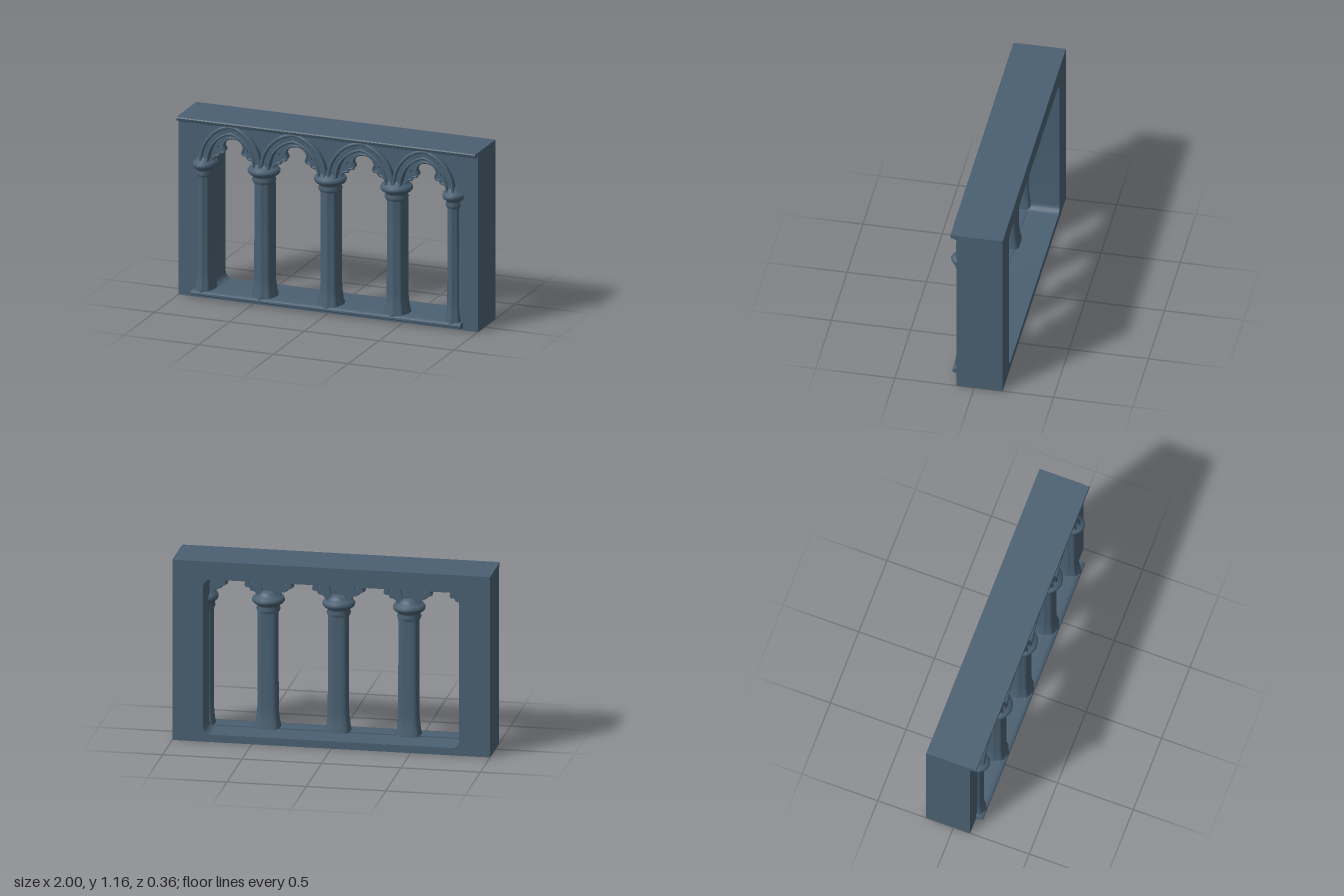
import * as THREE from 'three';
import { toCreasedNormals } from 'three/addons/utils/BufferGeometryUtils.js';

const SPRING = 0.89; // height where the arches spring
const OFFSET = 0.038; // distance of arc centres from each arch axis
const ARCHES = [[-0.645, 0.93], [-0.225, 1], [0.225, 1], [0.645, 0.93]]; // axis, width scale
const COLUMNS = [[-0.835, 0.75], [-0.443, 1], [0, 1], [0.443, 1], [0.835, 0.75]];

// Points of a pointed arch, from right springing over the apex to the left
function archPoints(r, cx = 0, sx = 1, n = 14) {
  const top = Math.acos(OFFSET / r);
  const right = [];
  for (let i = 0; i <= n; i++) {
    const a = (top * i) / n;
    right.push([r * Math.cos(a) - OFFSET, SPRING + r * Math.sin(a)]);
  }
  const left = right.slice(0, -1).reverse().map(([x, y]) => [-x, y]);
  return [...right, ...left].map(([x, y]) => new THREE.Vector2(cx + x * sx, y));
}

function rect(w, y0, y1) {
  return [[-w, y0], [w, y0], [w, y1], [-w, y1]].map(([x, y]) => new THREE.Vector2(x, y));
}

// Rounded rectangular hole
function roundedHole(w, y0, y1, r) {
  const p = new THREE.Path();
  p.moveTo(-w + r, y0);
  p.lineTo(w - r, y0);
  p.absarc(w - r, y0 + r, r, -Math.PI / 2, 0);
  p.absarc(w - r, y1 - r, r, 0, Math.PI / 2);
  p.absarc(-w + r, y1 - r, r, Math.PI / 2, Math.PI);
  p.absarc(-w + r, y0 + r, r, Math.PI, Math.PI * 1.5);
  return p;
}

// Extrude from z0 to z1 with an optional bevel inside that depth
function slab(shape, z0, z1, bevel = 0) {
  const g = new THREE.ExtrudeGeometry(shape, {
    depth: z1 - z0 - 2 * bevel, bevelEnabled: bevel > 0, bevelSize: bevel,
    bevelThickness: bevel, bevelOffset: -bevel, bevelSegments: 3, curveSegments: 10,
  });
  g.translate(0, 0, z0 + bevel);
  return toCreasedNormals(g, 0.7);
}

// Clustered column: a lathe whose shaft is squared behind and fluted in front
function columnGeometry() {
  const profile = [
    [0.082, 0.03], [0.08, 0.06], [0.073, 0.09], [0.067, 0.14], [0.065, 0.18], [0.064, 0.5],
    [0.064, 0.785], [0.07, 0.795], [0.076, 0.81], [0.069, 0.825], [0.074, 0.838], [0.092, 0.847],
    [0.101, 0.86], [0.102, 0.872], [0.094, 0.886], [0.075, 0.892], [0.066, 0.905], [0.05, 0.925], [0, 0.93],
  ].map(([r, y]) => new THREE.Vector2(r, y));
  const g = new THREE.LatheGeometry(profile, 64);
  const p = g.attributes.position;
  for (let i = 0; i < p.count; i++) {
    const x = p.getX(i), y = p.getY(i), z = p.getZ(i);
    if (y > 0.79) continue;
    const a = Math.atan2(x, z), c = Math.cos(a), s = Math.sin(a);
    const k = c < 0
      ? 1 / Math.pow(c ** 4 + s ** 4, 0.25)
      : 1 - 0.07 * (1 - Math.cos(8 * a)) / 2;
    p.setX(i, x * k);
    p.setZ(i, z * k);
  }
  g.computeVertexNormals();
  return g;
}

// Right half of the cusped opening, from the capital up to the crown
const CUSPS = [
  [0.157, 0.865], [0.152, 0.895], [0.13, 0.922], [0.105, 0.928], [0.094, 0.946], [0.07, 0.95],
  [0.064, 0.966], [0.074, 0.99], [0.064, 1.02], [0.038, 1.043], [0, 1.05],
];

function cuspCurve() {
  const left = CUSPS.slice(0, -1).reverse().map(([x, y]) => [-x, y]);
  const pts = [...CUSPS, ...left].map(([x, y]) => new THREE.Vector3(x, y, 0));
  return new THREE.CatmullRomCurve3(pts, false, 'centripetal');
}

// Cusped infill plate with two small piercings
function traceryGeometry() {
  const outer = archPoints(0.225);
  const inner = cuspCurve().getPoints(70).map((v) => new THREE.Vector2(v.x, v.y)).reverse();
  const a = outer[0].x;
  const shape = new THREE.Shape([
    new THREE.Vector2(a, 0.865), ...outer, new THREE.Vector2(-a, 0.865), ...inner,
  ]);
  for (const s of [-1, 1]) {
    shape.holes.push(new THREE.Path().absarc(s * 0.108, 0.98, 0.01, 0, Math.PI * 2));
  }
  return slab(shape, 0.035, 0.085);
}

// Flat band between two concentric pointed arches
function bandGeometry(r0, r1, z0, z1, bevel) {
  return slab(new THREE.Shape([...archPoints(r1), ...archPoints(r0).reverse()]), z0, z1, bevel);
}

export function createModel() {
  const model = new THREE.Group();
  const material = new THREE.MeshStandardMaterial({ color: 0x4a6072 });
  const add = (name, geometry, parent = model) => {
    const mesh = new THREE.Mesh(geometry, material);
    mesh.name = name;
    parent.add(mesh);
    return mesh;
  };

  // Deep surround with a rounded rectangular opening
  const surround = new THREE.Shape(rect(1, 0, 1.165));
  surround.holes.push(roundedHole(0.805, 0.047, 1.05, 0.05));
  add('surround', slab(surround, -0.18, 0.05));

  // Front wall, cut out beneath the four arches
  const wall = new THREE.Shape(rect(1, 0, 1.165));
  const cut = [new THREE.Vector2(-0.815, 0.047), new THREE.Vector2(0.815, 0.047)];
  for (const [cx, sx] of [...ARCHES].reverse()) cut.push(...archPoints(0.22, cx, sx));
  wall.holes.push(new THREE.Path(cut));
  add('frontWall', slab(wall, 0.05, 0.11));

  // Arches: moulded band, raised ribs and cusped tracery
  const band = bandGeometry(0.2, 0.262, 0.06, 0.127, 0.008);
  const outerRib = bandGeometry(0.24, 0.262, 0.11, 0.147, 0.009);
  const innerRib = bandGeometry(0.198, 0.214, 0.1, 0.139, 0.007);
  const tracery = traceryGeometry();
  const edging = new THREE.TubeGeometry(cuspCurve(), 70, 0.008, 8);
  edging.translate(0, 0, 0.083);
  for (const [cx, sx] of ARCHES) {
    const arch = new THREE.Group();
    arch.name = 'arch';
    arch.position.x = cx;
    arch.scale.x = sx;
    add('archBand', band, arch);
    add('outerRib', outerRib, arch);
    add('innerRib', innerRib, arch);
    add('tracery', tracery, arch);
    add('cuspEdging', edging, arch);
    model.add(arch);
  }

  // Columns with flared feet and ringed capitals
  const column = columnGeometry();
  for (const [x, sx] of COLUMNS) {
    const mesh = add('column', column);
    mesh.position.set(x, 0, 0.075);
    mesh.scale.x = sx;
  }

  // Horizontal mouldings, extruded along x from a (z, y) section
  const moulding = (name, section, length) => {
    const g = new THREE.ExtrudeGeometry(
      new THREE.Shape(section.map(([z, y]) => new THREE.Vector2(-z, y))),
      { depth: length, bevelEnabled: false });
    g.translate(0, 0, -length / 2);
    g.rotateY(Math.PI / 2);
    add(name, toCreasedNormals(g, 0.7));
  };
  moulding('topMoulding', [
    [0.1, 1.165], [0.148, 1.165], [0.152, 1.158], [0.145, 1.14], [0.13, 1.137], [0.12, 1.13], [0.1, 1.128],
  ], 1.996);
  moulding('sill', [
    [0.02, 0.053], [0.13, 0.053], [0.148, 0.05], [0.157, 0.042], [0.158, 0.03], [0.148, 0.024],
    [0.11, 0.01], [0.02, 0.01],
  ], 1.8);

  return model;
}
